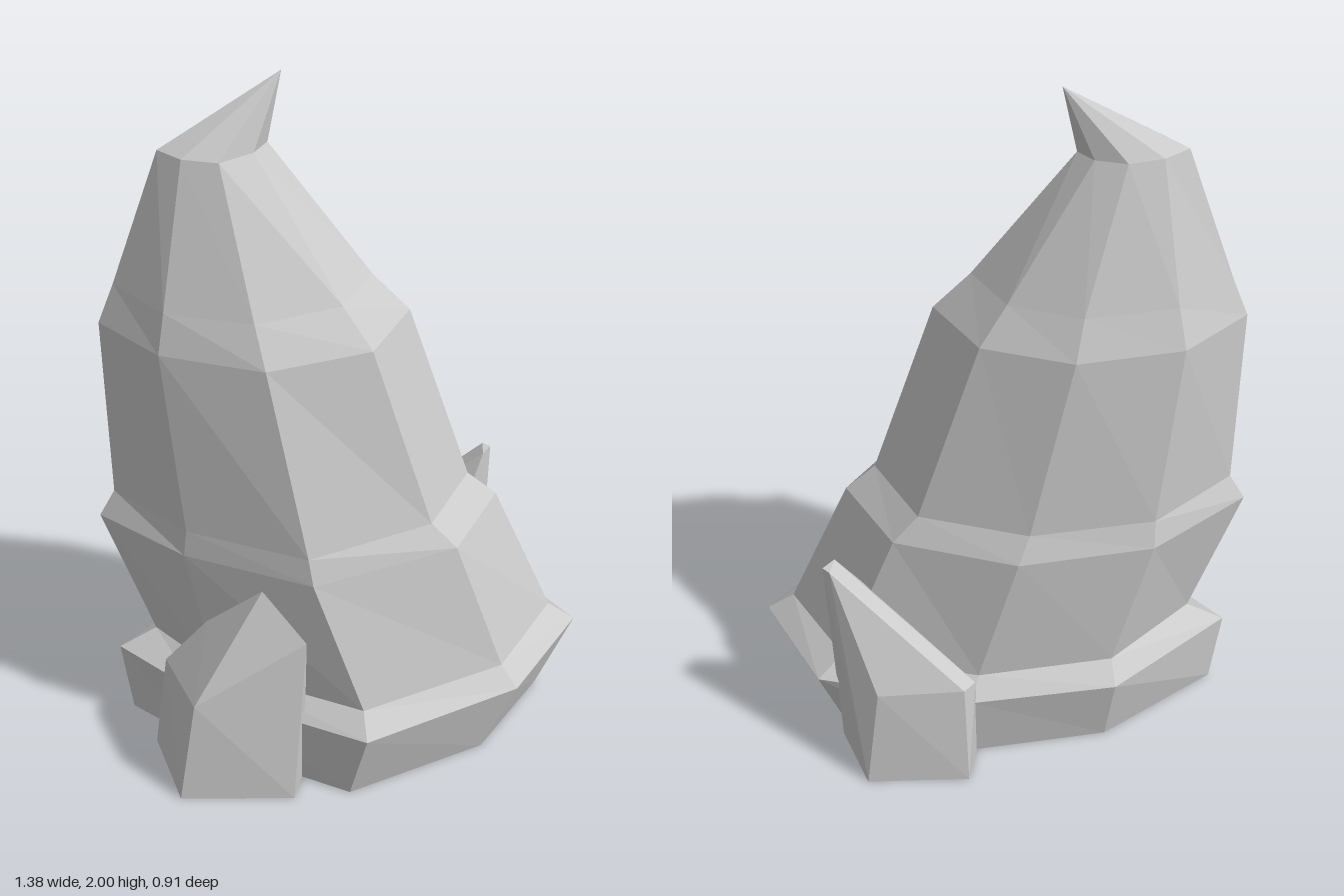
import * as THREE from 'three';
import { ConvexGeometry } from 'three/addons/geometries/ConvexGeometry.js';

const stone = new THREE.MeshStandardMaterial({ color: 0xcccccc, flatShading: true });

// Faceted body through rings [y, [x, z], ...], with a flat base and a pointed tip
function loft(rings, tip) {
  const pos = [];
  const tri = (...pts) => pts.forEach((p) => pos.push(...p));
  const loops = rings.map(([y, ...pts]) => pts.map(([x, z]) => [x, y, z]));
  const n = loops[0].length;
  for (let i = 0; i < n; i++) {
    const j = (i + 1) % n;
    for (let k = 0; k < loops.length - 1; k++) {
      const a = loops[k], b = loops[k + 1];
      tri(a[i], b[i], b[j]);
      tri(a[i], b[j], a[j]);
    }
    const top = loops[loops.length - 1];
    tri(top[i], tip, top[j]);
    tri([0, rings[0][0], 0], loops[0][i], loops[0][j]);
  }
  const g = new THREE.BufferGeometry();
  g.setAttribute('position', new THREE.Float32BufferAttribute(pos, 3));
  g.computeVertexNormals();
  return g;
}

// Small angular boulder spanned by its corner points
const boulder = (corners) => new ConvexGeometry(corners.map((c) => new THREE.Vector3(...c)));

export function createModel() {
  const group = new THREE.Group();
  const add = (name, geometry) => {
    const mesh = new THREE.Mesh(geometry, stone);
    mesh.name = name;
    group.add(mesh);
  };

  // Leaning spire: each ring runs right, front, left, back
  const rings = [
    [0, [0.585, 0.02], [0.36, 0.27], [-0.05, 0.4], [-0.43, 0.16], [-0.645, -0.05], [-0.31, -0.28], [0.08, -0.34], [0.45, -0.23]],
    [0.24, [0.69, 0.02], [0.45, 0.3], [-0.01, 0.455], [-0.46, 0.18], [-0.67, -0.05], [-0.33, -0.325], [0.08, -0.38], [0.52, -0.28]],
    [0.3, [0.61, 0.01], [0.41, 0.26], [-0.01, 0.39], [-0.4, 0.16], [-0.56, -0.05], [-0.32, -0.27], [0.06, -0.33], [0.45, -0.24]],
    [0.72, [0.43, 0], [0.27, 0.235], [-0.14, 0.345], [-0.47, 0.16], [-0.69, -0.06], [-0.42, -0.27], [-0.05, -0.335], [0.29, -0.235]],
    [0.8, [0.345, 0], [0.2, 0.22], [-0.15, 0.33], [-0.46, 0.16], [-0.645, -0.06], [-0.42, -0.25], [-0.08, -0.305], [0.22, -0.22]],
    [1.34, [0.17, -0.01], [0.04, 0.19], [-0.24, 0.25], [-0.5, 0.13], [-0.645, -0.06], [-0.47, -0.22], [-0.19, -0.275], [0.05, -0.2]],
    [1.45, [0.07, -0.02], [-0.03, 0.14], [-0.26, 0.2], [-0.48, 0.11], [-0.6, -0.06], [-0.45, -0.19], [-0.21, -0.235], [-0.02, -0.17]],
    [1.82, [-0.19, -0.06], [-0.23, 0], [-0.32, 0.05], [-0.41, 0.015], [-0.465, -0.05], [-0.4, -0.1], [-0.31, -0.125], [-0.23, -0.105]],
  ];
  add('spire', loft(rings, [-0.15, 2, -0.075]));

  // Boulder leaning on the front
  add('frontBoulder', boulder([
    [-0.585, 0, 0.11], [-0.53, 0, 0.355], [-0.21, 0, 0.4], [-0.17, 0, 0.3],
    [-0.54, 0.33, 0.13], [-0.475, 0.33, 0.34], [-0.16, 0.52, 0.34],
    [-0.42, 0.49, 0.17], [-0.27, 0.66, 0.27],
  ]));

  // Boulder leaning on the back
  add('backBoulder', boulder([
    [0.09, 0, -0.45], [0.38, 0, -0.455], [0.46, 0, -0.27], [0.06, 0, -0.3],
    [0.07, 0.33, -0.385], [0.1, 0.33, -0.42], [0.34, 0.33, -0.435],
    [0.48, 0.68, -0.29], [0.45, 0.68, -0.255], [0.46, 0.68, -0.31], [0.38, 0.53, -0.19],
  ]));

  return group;
}
